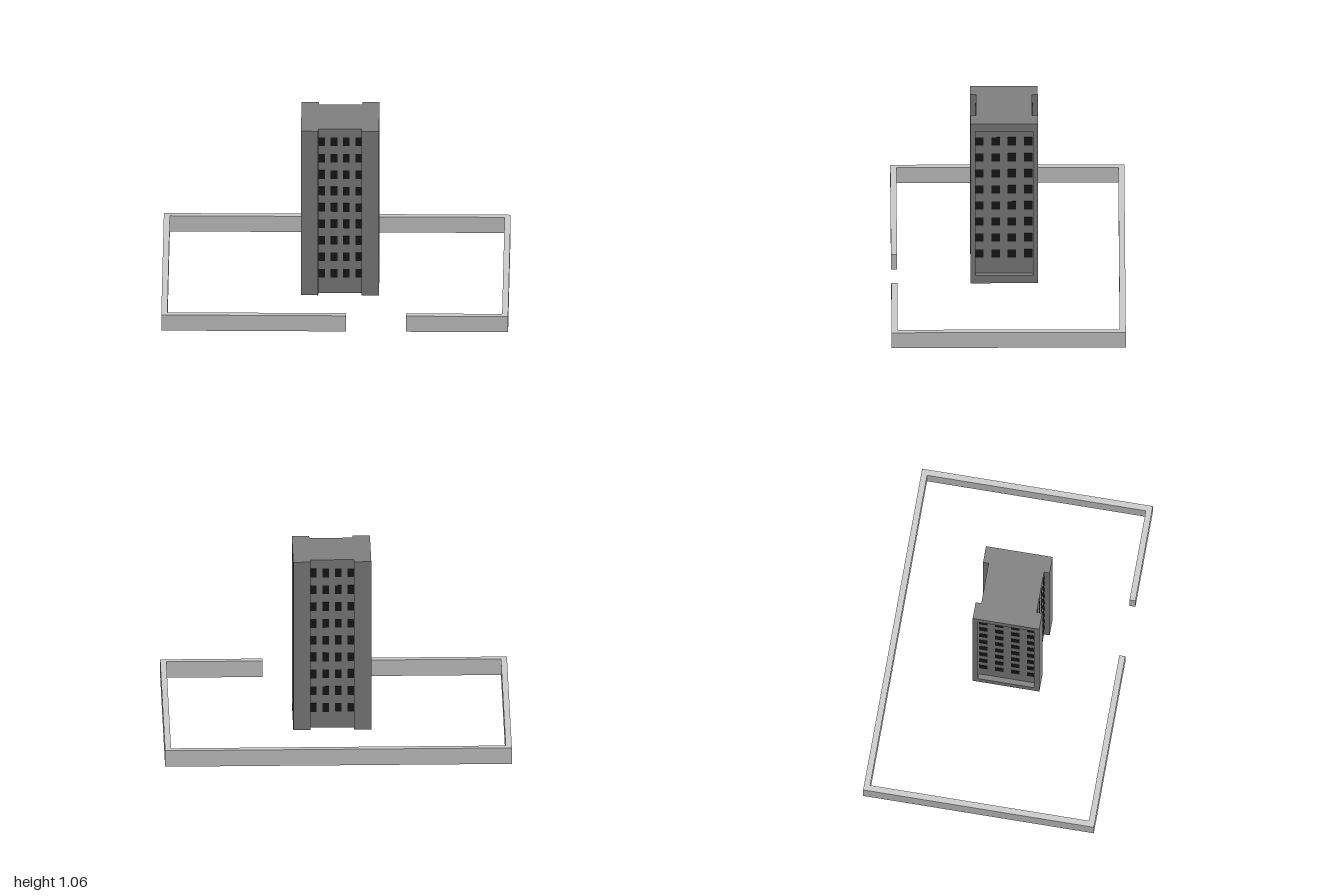
import * as THREE from 'three';

const wallMat = new THREE.MeshStandardMaterial({ color: 0xcccccc });
const towerMat = new THREE.MeshStandardMaterial({ color: 0x808080 });
const glassMat = new THREE.MeshStandardMaterial({ color: 0x181818 });

// Box given by its min and max corners
function box(name, mat, [x0, y0, z0], [x1, y1, z1]) {
  const mesh = new THREE.Mesh(new THREE.BoxGeometry(x1 - x0, y1 - y0, z1 - z0), mat);
  mesh.position.set((x0 + x1) / 2, (y0 + y1) / 2, (z0 + z1) / 2);
  mesh.name = name;
  return mesh;
}

function rectPoints(x0, y0, x1, y1) {
  return [[x0, y0], [x1, y0], [x1, y1], [x0, y1]].map(p => new THREE.Vector2(...p));
}

function createWall() {
  const wall = new THREE.Group();
  wall.name = 'perimeterWall';
  const X = 1, Z = 0.675, T = 0.035, H = 0.1;
  wall.add(
    box('leftWall', wallMat, [X - T, 0, -Z], [X, H, Z]),
    box('rightWall', wallMat, [-X, 0, -Z], [T - X, H, Z]),
    box('backWall', wallMat, [T - X, 0, -Z], [X - T, H, T - Z]),
    // the entrance gap lies between these two
    box('frontWallLong', wallMat, [T - X, 0, Z - T], [0.065, H, Z]),
    box('frontWallShort', wallMat, [0.41, 0, Z - T], [X - T, H, Z])
  );
  return wall;
}

function createTower() {
  const tower = new THREE.Group();
  tower.name = 'tower';
  const W = 0.225, D = 0.195, Y0 = 0.01, Y1 = 1.06; // half width, half depth, bottom, top
  const inset = 0.033, recess = 0.03, bay = 0.125;
  const cx = W - recess, cz = D - inset;

  // Core: footprint with a full-height bay set back at front and rear
  const plan = new THREE.Shape([
    [-cx, -D], [-bay, -D], [-bay, -cz], [bay, -cz], [bay, -D], [cx, -D],
    [cx, D], [bay, D], [bay, cz], [-bay, cz], [-bay, D], [-cx, D]
  ].map(p => new THREE.Vector2(...p)));
  const coreGeo = new THREE.ExtrudeGeometry(plan, { depth: Y1 - Y0, bevelEnabled: false });
  coreGeo.rotateX(-Math.PI / 2).translate(0, Y0, 0);
  const core = new THREE.Mesh(coreGeo, towerMat);
  core.name = 'towerCore';
  tower.add(core);

  // Raised border around each side face
  const border = new THREE.Shape(rectPoints(-D, Y0, D, Y1));
  border.holes.push(new THREE.Path(rectPoints(-D + 0.03, 0.06, D - 0.03, 1.01)));
  const frameGeo = new THREE.ExtrudeGeometry(border, { depth: recess, bevelEnabled: false });
  for (const s of [1, -1]) {
    const frame = new THREE.Mesh(frameGeo, towerMat);
    frame.name = s > 0 ? 'leftFrame' : 'rightFrame';
    frame.rotation.y = s * Math.PI / 2;
    frame.position.x = s * cx;
    tower.add(frame);
  }

  // Window grids, mirrored on opposite faces
  const proud = 0.002;
  for (const s of [1, -1]) {
    const bayWindows = new THREE.Group();
    bayWindows.name = s > 0 ? 'frontWindows' : 'backWindows';
    for (let r = 0; r < 9; r++) for (let c = 0; c < 4; c++) {
      const x = -0.106 + c * 0.0715, y = 0.136 + r * 0.1053, z = s * cz;
      bayWindows.add(box('window', glassMat,
        [x - 0.019, y - 0.027, z - proud], [x + 0.019, y + 0.027, z + proud]));
    }
    const sideWindows = new THREE.Group();
    sideWindows.name = s > 0 ? 'leftWindows' : 'rightWindows';
    for (let r = 0; r < 8; r++) for (let c = 0; c < 4; c++) {
      const z = 0.143 - c * 0.0937, y = 0.19 + r * 0.1055, x = s * cx;
      sideWindows.add(box('window', glassMat,
        [x - proud, y - 0.027, z - 0.024], [x + proud, y + 0.027, z + 0.024]));
    }
    tower.add(bayWindows, sideWindows);
  }

  tower.position.set(0.025, 0, 0.023);
  return tower;
}

export function createModel() {
  const model = new THREE.Group();
  model.name = 'walledTower';
  model.add(createWall(), createTower());
  return model;
}
